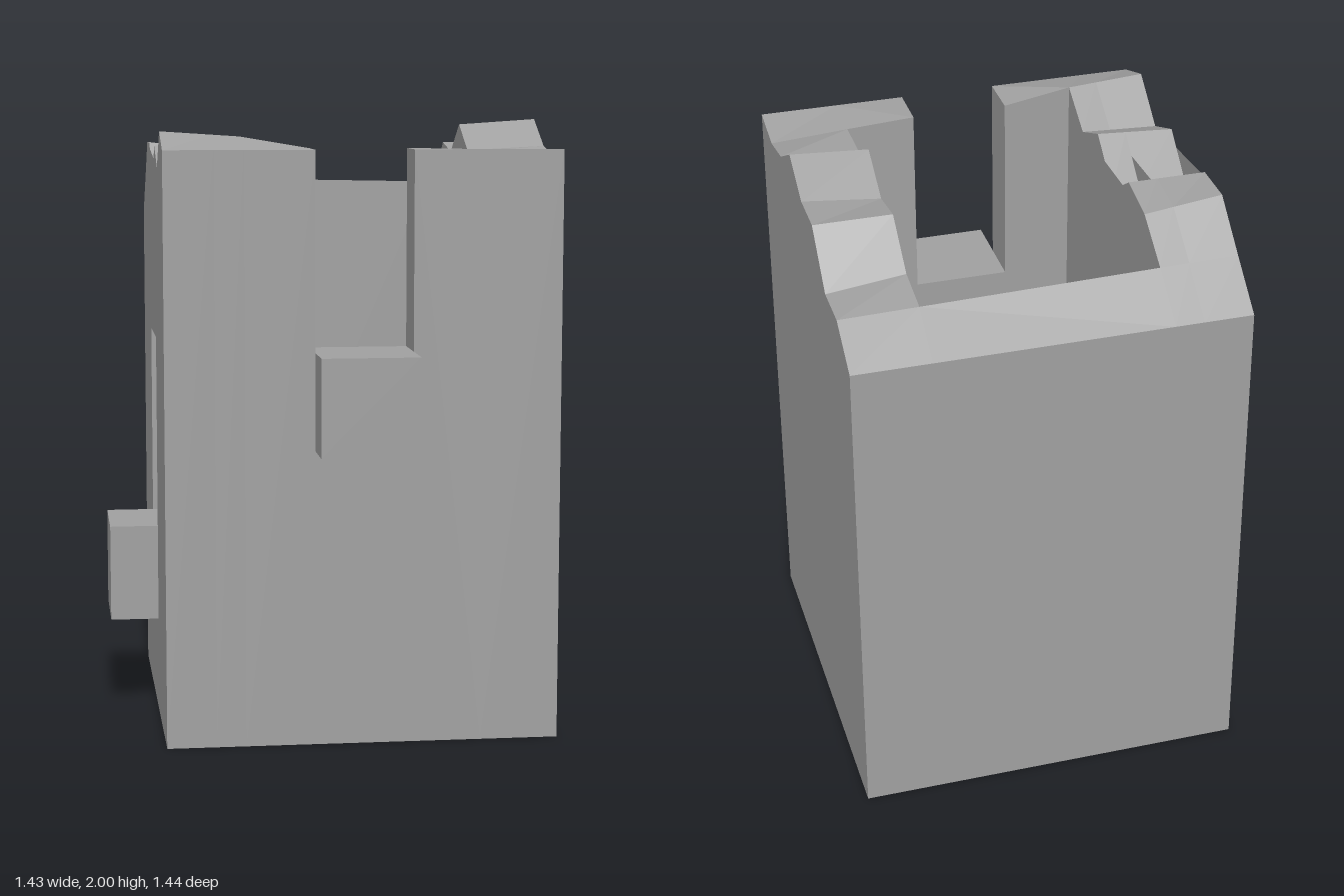
import * as THREE from 'three';

// Ragged rim heights, stepping 0.16 from the front (z = 0.56) to the back (z = -0.72)
const RIM_RIGHT = [1.915, 1.97, 1.85, 1.915, 1.78, 1.915, 1.915, 1.785, 1.66]; // at x = -0.56
const RIM_LEFT = [1.915, 1.885, 1.915, 2.0, 1.915, 1.915, 1.76, 1.76, 1.66]; // at x = 0.715
const STEP = 0.16, FRONT = 0.56, BACK = -0.72;
const X0 = -0.56, X1 = 0.715; // outer faces
const IN0 = -0.305, IN1 = 0.46; // cavity sides
const IN_FRONT = 0.4, IN_BACK = -0.56;
const SLOT0 = -0.08, SLOT1 = 0.235, SLOT_Y = 1.275;

function rimHeight(x, z) {
  const t = THREE.MathUtils.clamp((FRONT - z) / STEP, 0, 8);
  const i = Math.min(Math.floor(t), 7);
  const at = (rim) => THREE.MathUtils.lerp(rim[i], rim[i + 1], t - i);
  return THREE.MathUtils.lerp(at(RIM_RIGHT), at(RIM_LEFT), (x - X0) / (X1 - X0));
}

// Move every vertex above a limit to the height given by a rule
function shapeTop(geometry, limit, rule) {
  const p = geometry.attributes.position;
  for (let i = 0; i < p.count; i++) {
    if (p.getY(i) > limit) p.setY(i, rule(p.getX(i), p.getZ(i)));
  }
  const flat = geometry.index ? geometry.toNonIndexed() : geometry;
  flat.computeVertexNormals();
  return flat;
}

function outline(points) {
  return new THREE.Shape(points.map(([x, y]) => new THREE.Vector2(x, y)));
}

// Wall layer running front to back between two x positions
function sideLayer(x0, x1, hole) {
  const points = [[-FRONT, 0], [-BACK, 0]];
  for (let i = 8; i >= 0; i--) points.push([-FRONT + i * STEP, RIM_LEFT[i]]);
  const shape = outline(points);
  if (hole) shape.holes.push(hole);
  const g = new THREE.ExtrudeGeometry(shape, { depth: x1 - x0, bevelEnabled: false });
  g.rotateY(Math.PI / 2).translate(x0, 0, 0);
  return shapeTop(g, 1.5, rimHeight);
}

// Wall running across between two z positions
function crossWall(points, z0, z1, rule) {
  const g = new THREE.ExtrudeGeometry(outline(points), { depth: z1 - z0, bevelEnabled: false });
  return shapeTop(g.translate(0, 0, z0), 1.5, rule);
}

export function createModel() {
  const model = new THREE.Group();
  const stone = new THREE.MeshStandardMaterial({ color: 0xa0a0a0 });
  stone.name = 'greyStone';

  const add = (name, geometry) => {
    const mesh = new THREE.Mesh(geometry, stone);
    mesh.name = name;
    model.add(mesh);
  };
  const addBox = (name, x0, x1, y0, y1, z0, z1) => {
    const g = new THREE.BoxGeometry(x1 - x0, y1 - y0, z1 - z0);
    add(name, g.translate((x0 + x1) / 2, (y0 + y1) / 2, (z0 + z1) / 2));
  };

  // Side walls; the right one carries a recessed window
  const windowHole = outline([[-0.08, 0.64], [0.24, 0.64], [0.24, 1.28], [-0.08, 1.28]]);
  add('leftWall', sideLayer(IN1, X1));
  add('rightWallOuter', sideLayer(X0, -0.4, windowHole));
  add('rightWallInner', sideLayer(-0.4, IN0));

  // Front wall, split by a tall open slot
  add('frontWall', crossWall([
    [IN0, 0], [IN1, 0], [IN1, 1.9], [SLOT1, 1.9], [SLOT1, SLOT_Y],
    [SLOT0, SLOT_Y], [SLOT0, 1.9], [IN0, 1.9],
  ], IN_FRONT, FRONT, (x, z) => (x > IN0 + 0.01 && x < IN1 - 0.01 ? 1.915 : rimHeight(x, z))));

  // Low back wall with a sloping top
  add('backWall', crossWall([[IN0, 0], [IN1, 0], [IN1, 1.7], [IN0, 1.7]], BACK, IN_BACK, rimHeight));

  // Uneven floor inside the hollow
  const floor = new THREE.BoxGeometry(IN1 - IN0, 0.6, IN_FRONT - IN_BACK, 8, 1, 6);
  floor.translate((IN0 + IN1) / 2, 0.3, (IN_FRONT + IN_BACK) / 2);
  add('floor', shapeTop(floor, 0.5, (x, z) => rimHeight(x, z) - 1.3));

  // Projecting sills
  addBox('frontSill', SLOT0, SLOT1, 0.96, SLOT_Y, FRONT, 0.72);
  addBox('windowSill', -0.72, X0, 0.32, 0.64, -0.24, 0.08);

  return model;
}
